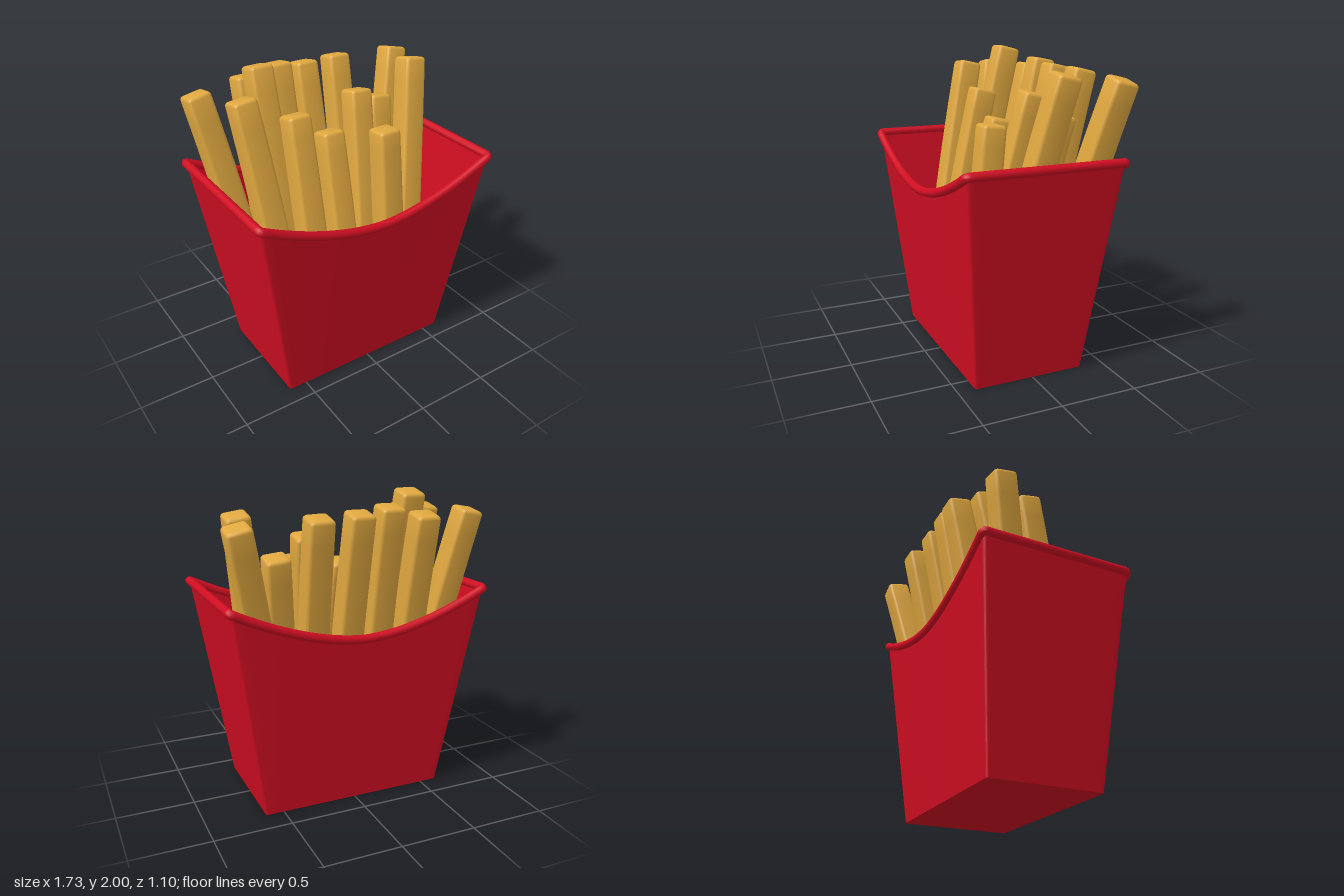
import * as THREE from 'three';
import { toCreasedNormals } from 'three/addons/utils/BufferGeometryUtils.js';

const CENTRE_Z = 0.02;
const RIM = { x: 0.837, z: 0.5 };
const BASE = { x: 0.62, z: 0.368 };

// Rounded rectangle in the XZ plane, wound from +x towards +z.
function roundedRect(hx, hz, r, arcSteps, edgeSteps = 1) {
  const arcs = [];
  [[1, 1], [-1, 1], [-1, -1], [1, -1]].forEach(([sx, sz], k) => {
    for (let i = 0; i <= arcSteps; i++) {
      const a = (k + i / arcSteps) * Math.PI / 2;
      arcs.push(new THREE.Vector2(sx * (hx - r) + r * Math.cos(a), sz * (hz - r) + r * Math.sin(a)));
    }
  });
  const points = [];
  arcs.forEach((p, i) => {
    points.push(p);
    if (i % (arcSteps + 1) !== arcSteps) return;
    const next = arcs[(i + 1) % arcs.length];
    for (let e = 1; e < edgeSteps; e++) points.push(p.clone().lerp(next, e / edgeSteps));
  });
  return points;
}

// Skin over a list of equal rings of Vector3, closed at both ends.
function loft(rings, crease) {
  const n = rings[0].length;
  const positions = [];
  const index = [];
  rings.forEach(ring => ring.forEach(p => positions.push(p.x, p.y, p.z)));
  for (let r = 0; r < rings.length - 1; r++) {
    for (let i = 0; i < n; i++) {
      const a = r * n + i, b = r * n + (i + 1) % n;
      index.push(a, a + n, b, b, a + n, b + n);
    }
  }
  [0, rings.length - 1].forEach((r, end) => {
    const c = rings[r].reduce((s, p) => s.add(p), new THREE.Vector3()).divideScalar(n);
    const centre = positions.length / 3;
    positions.push(c.x, c.y, c.z);
    for (let i = 0; i < n; i++) {
      const a = r * n + i, b = r * n + (i + 1) % n;
      if (end) index.push(centre, b, a);
      else index.push(centre, a, b);
    }
  });
  const geometry = new THREE.BufferGeometry();
  geometry.setAttribute('position', new THREE.Float32BufferAttribute(positions, 3));
  geometry.setIndex(index);
  return toCreasedNormals(geometry, crease);
}

// Height of the carton's mouth: high at the sides, dipping in the middle.
const mouthHeight = x => 1.13 + 0.24 * Math.pow(Math.min(1, Math.abs(x) / RIM.x), 1.75);

function createCarton(material) {
  const carton = new THREE.Group();
  carton.name = 'carton';
  const mouth = roundedRect(RIM.x, RIM.z, 0.02, 4, 32);

  // Each ring is the mouth outline scaled to new half sizes
  const ring = (hx, hz, height) => mouth.map(p => new THREE.Vector3(
    p.x * hx / RIM.x, height(p.x), p.y * hz / RIM.z + CENTRE_Z));
  const wall = 0.014;
  const body = new THREE.Mesh(loft([
    ring(BASE.x, BASE.z, () => 0),
    ring(RIM.x, RIM.z, mouthHeight),
    ring(RIM.x - wall, RIM.z - wall, mouthHeight),
    ring(BASE.x - wall, BASE.z - wall, () => wall),
  ], 0.6), material);
  body.name = 'cartonBody';

  // Rolled edge around the mouth
  const path = new THREE.CatmullRomCurve3(ring(RIM.x, RIM.z, mouthHeight), true);
  path.arcLengthDivisions = 1200;
  const rim = new THREE.Mesh(new THREE.TubeGeometry(path, 400, 0.028, 12, true), material);
  rim.name = 'cartonRim';
  carton.add(body, rim);
  return carton;
}

// Square stick that leans more towards its tip, with softened ends.
function fryGeometry(base, tip) {
  const section = roundedRect(0.083, 0.083, 0.022, 3);
  const bevel = 0.022;
  const rows = [];
  const length = base.distanceTo(tip);
  for (let i = 0; i <= 3; i++) {
    const a = i / 3 * Math.PI / 2;
    rows.push([bevel * (1 - Math.sin(a)) / length, bevel * (1 - Math.cos(a))]);
  }
  rows.reverse();
  const start = rows.map(([t, inset]) => [t, inset]).reverse();
  start.forEach((row, i) => { row[1] = bevel * (1 - Math.sin(i / 3 * Math.PI / 2)); row[0] = bevel * (1 - Math.cos(i / 3 * Math.PI / 2)) / length; });
  const finish = start.map(([t, inset]) => [1 - t, inset]).reverse();
  const middle = Array.from({ length: 11 }, (_, i) => [(i + 1) / 12, 0]);

  const rings = [...start, ...middle, ...finish].map(([t, inset]) => {
    const lean = 0.8 * t + 0.2 * t * t;
    const slope = 0.8 + 0.4 * t;
    const d = tip.clone().sub(base);
    const centre = new THREE.Vector3(base.x + d.x * lean, base.y + d.y * t, base.z + d.z * lean);
    const along = new THREE.Vector3(d.x * slope, d.y, d.z * slope).normalize();
    const across = new THREE.Vector3(1, 0, 0).addScaledVector(along, -along.x).normalize();
    const depth = across.clone().cross(along);
    const scale = (1 - inset / 0.083) * (1 - 0.08 * t * t);
    return section.map(p => centre.clone()
      .addScaledVector(across, p.x * scale).addScaledVector(depth, p.y * scale));
  });
  return loft(rings, 0.75);
}

export function createModel() {
  const model = new THREE.Group();
  model.name = 'friesInCarton';
  const red = new THREE.MeshStandardMaterial({ color: 0xd00e22 });
  const golden = new THREE.MeshStandardMaterial({ color: 0xe0a840 });
  model.add(createCarton(red));

  // Fries: base x, base z, tip x, tip z, highest point
  const fries = new THREE.Group();
  fries.name = 'fries';
  [
    // back row
    [-0.50, -0.06, -0.78, -0.34, 1.88],
    [-0.39, -0.12, -0.39, -0.47, 1.88],
    [-0.17, -0.13, -0.17, -0.44, 1.93],
    [0.03, -0.10, 0.03, -0.45, 1.90],
    [0.25, -0.12, 0.30, -0.48, 1.89],
    [0.42, -0.13, 0.78, -0.47, 1.86],
    // middle row
    [-0.38, 0.12, -0.39, -0.28, 2.00],
    [0.15, 0.18, 0.26, -0.16, 1.75],
    [0.33, 0.08, 0.48, -0.24, 1.64],
    // front row
    [-0.46, 0.26, -0.61, -0.08, 1.89],
    [-0.27, 0.27, -0.27, -0.05, 1.73],
    [-0.03, 0.25, -0.02, -0.06, 1.56],
    [0.45, 0.20, 0.69, -0.15, 1.89],
    [0.30, 0.26, 0.28, 0.13, 1.57],
  ].forEach(([bx, bz, tx, tz, top]) => {
    const fry = new THREE.Mesh(fryGeometry(
      new THREE.Vector3(bx, 0.04, bz), new THREE.Vector3(tx, top - 0.015, tz)), golden);
    fry.name = 'fry';
    fries.add(fry);
  });
  model.add(fries);
  return model;
}
